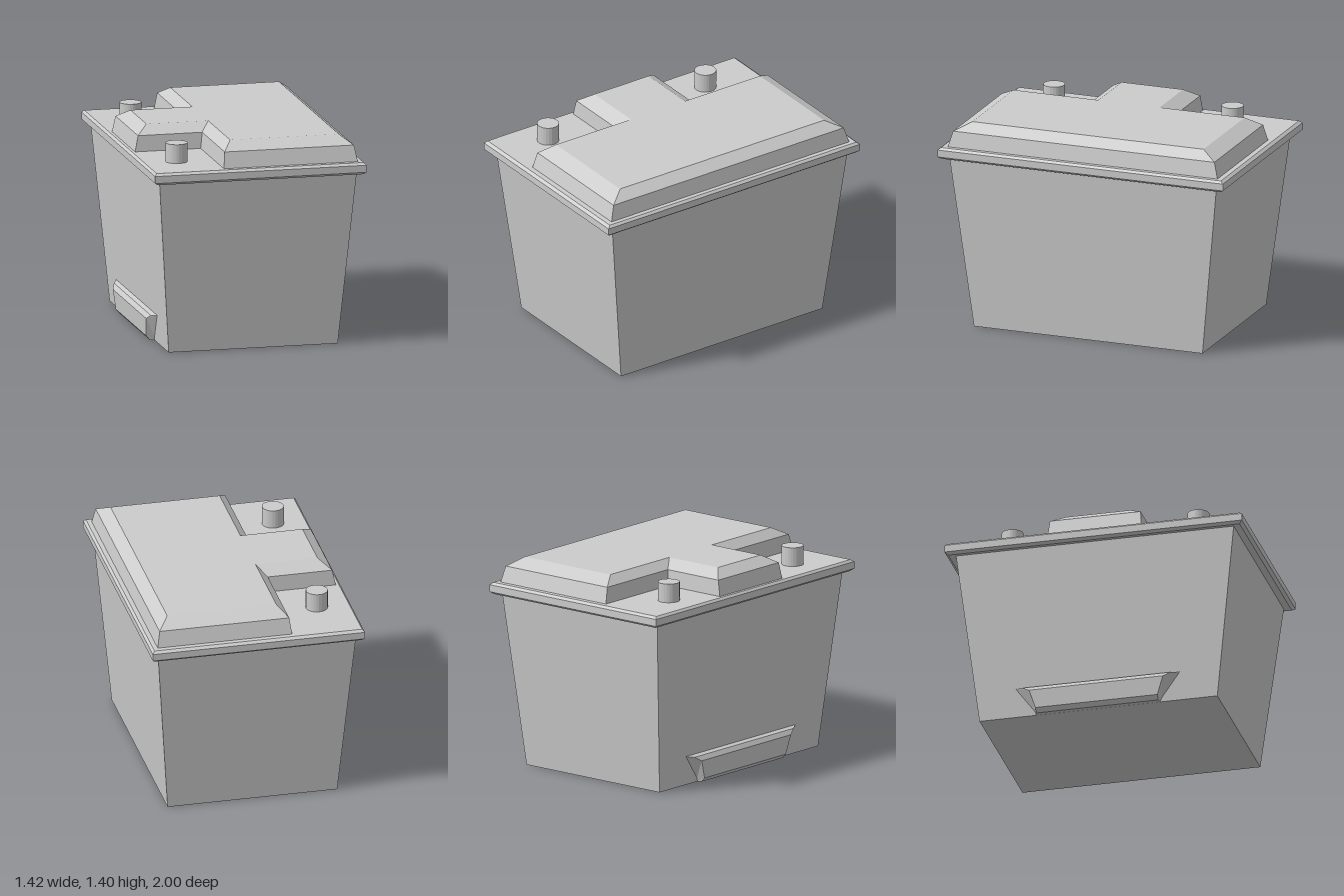
import * as THREE from 'three';

const material = new THREE.MeshStandardMaterial({ color: 0xcccccc, flatShading: true });

// Closed solid through rings of [u, v, w] points, counter-clockwise about +w
function loft(rings) {
  const positions = [];
  const tri = (a, b, c) => positions.push(...a, ...b, ...c);
  const n = rings[0].length;
  for (let r = 0; r < rings.length - 1; r++) {
    for (let i = 0; i < n; i++) {
      const j = (i + 1) % n;
      tri(rings[r][i], rings[r][j], rings[r + 1][j]);
      tri(rings[r][i], rings[r + 1][j], rings[r + 1][i]);
    }
  }
  const first = rings[0], last = rings[rings.length - 1];
  const faces = (ring) => THREE.ShapeUtils.triangulateShape(ring.map(([u, v]) => new THREE.Vector2(u, v)), []);
  for (const [a, b, c] of faces(first)) tri(first[c], first[b], first[a]);
  for (const [a, b, c] of faces(last)) tri(last[a], last[b], last[c]);
  const geometry = new THREE.BufferGeometry();
  geometry.setAttribute('position', new THREE.Float32BufferAttribute(positions, 3));
  geometry.computeVertexNormals();
  return geometry;
}

// Rectangle ring at height y
const rect = (x0, x1, z, y) => [[x0, -z, y], [x1, -z, y], [x1, z, y], [x0, z, y]];

// T-shaped ring: wide block on +x, narrow stub towards -x
const tee = (x0, xInner, x1, zStub, z, y) => [
  [xInner, -z, y], [x1, -z, y], [x1, z, y], [xInner, z, y],
  [xInner, zStub, y], [x0, zStub, y], [x0, -zStub, y], [xInner, -zStub, y],
];

export function createModel() {
  const group = new THREE.Group();
  const add = (name, geometry) => {
    const mesh = new THREE.Mesh(geometry, material);
    mesh.name = name;
    group.add(mesh);
    return mesh;
  };
  const upright = (rings) => loft(rings).rotateX(-Math.PI / 2);

  // Tapered case
  add('case', upright([rect(-0.57, 0.565, 0.8, 0), rect(-0.665, 0.66, 0.935, 1.17)]));

  // Bevelled rim around the top
  add('rim', upright([
    rect(-0.69, 0.69, 0.98, 1.162),
    rect(-0.71, 0.71, 1, 1.178),
    rect(-0.71, 0.71, 1, 1.225),
    rect(-0.695, 0.695, 0.98, 1.24),
  ]));

  // Raised T-shaped lid with a wide bevel
  add('lid', upright([
    tee(-0.675, -0.235, 0.665, 0.315, 0.945, 1.238),
    tee(-0.653, -0.222, 0.645, 0.305, 0.915, 1.345),
    tee(-0.575, -0.16, 0.57, 0.215, 0.81, 1.4),
  ]));

  // Terminal posts
  for (const [name, z] of [['backTerminal', -0.6], ['frontTerminal', 0.65]]) {
    add(name, new THREE.CylinderGeometry(0.072, 0.072, 0.135, 24)).position.set(-0.48, 1.298, z);
  }

  // Mounting foot low on the right side: x, y and half length, flared at the top
  const foot = [
    [-0.56, 0, 0.42], [-0.575, 0.195, 0.55], [-0.587, 0.195, 0.55], [-0.615, 0.185, 0.5],
    [-0.635, 0.155, 0.45], [-0.625, 0.03, 0.41], [-0.6, 0.002, 0.41],
  ];
  add('mountingFoot', loft([-1, 1].map((side) => foot.map(([x, y, half]) => [x, y, side * half]))));

  return group;
}
